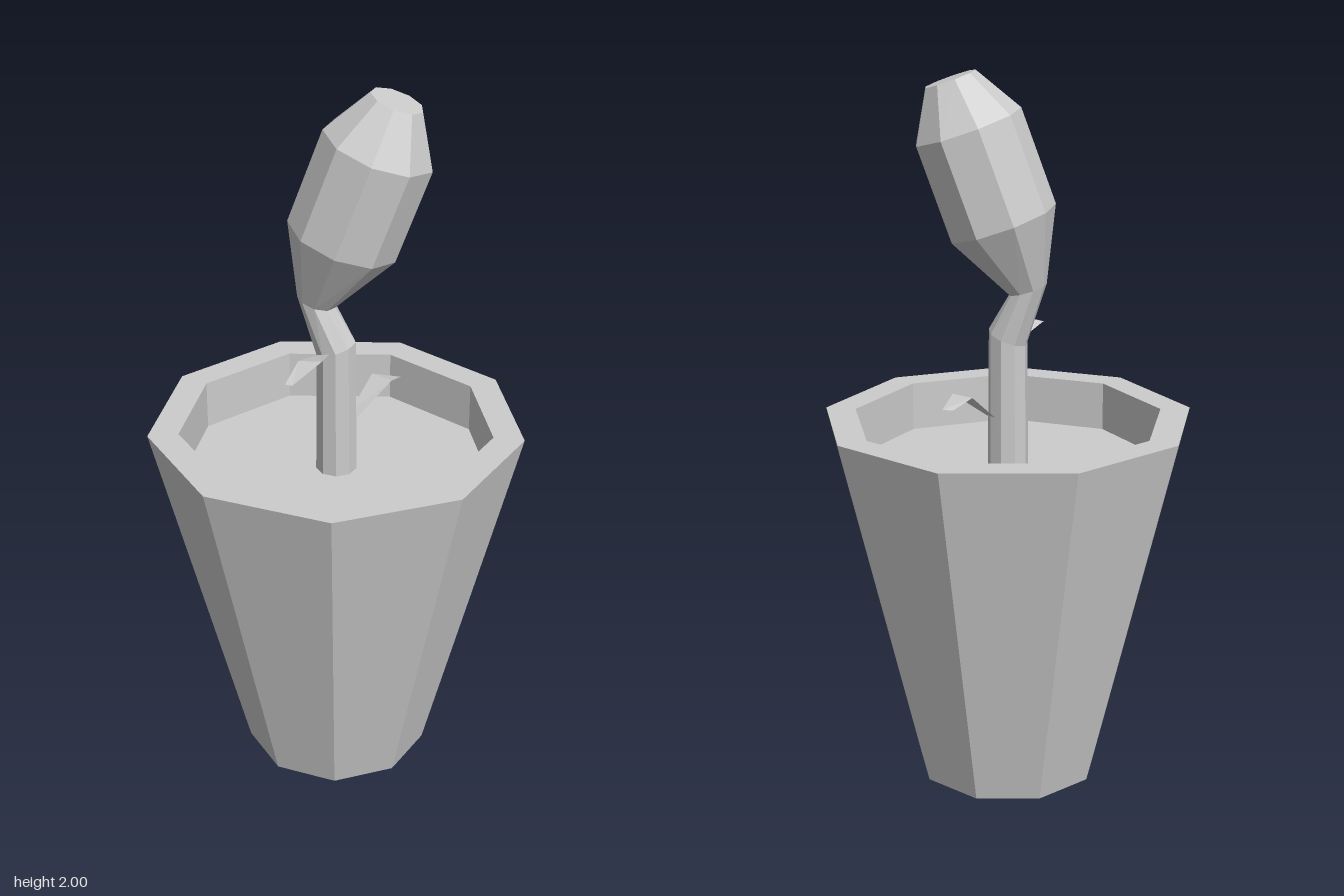
import * as THREE from 'three';

const SIDES = 9;
const CENTRE_Z = 0.015;

// Joins tilted nine-sided rings into a faceted, capped tube
function loft(rings) {
  const pos = [], index = [];
  const up = new THREE.Vector3(0, 1, 0);
  for (const { c, r, n, phase } of rings) {
    const tilt = new THREE.Quaternion().setFromUnitVectors(up, new THREE.Vector3(...n).normalize());
    for (let i = 0; i < SIDES; i++) {
      const a = THREE.MathUtils.degToRad(phase + i * 360 / SIDES);
      const p = new THREE.Vector3(Math.cos(a) * r, 0, -Math.sin(a) * r).applyQuaternion(tilt);
      pos.push(p.x + c[0], p.y + c[1], p.z + c[2]);
    }
  }
  for (let k = 0; k < rings.length - 1; k++) {
    for (let i = 0; i < SIDES; i++) {
      const j = (i + 1) % SIDES, lo = k * SIDES, hi = lo + SIDES;
      index.push(lo + i, lo + j, hi + j, lo + i, hi + j, hi + i);
    }
  }
  const top = (rings.length - 1) * SIDES;
  for (let i = 1; i < SIDES - 1; i++) index.push(top, top + i, top + i + 1);
  return finish(pos, index);
}

// Folded leaf blade: left/right point pairs at base, fold and tip
function leafBlade(pairs) {
  return finish(pairs.flat(2), [0, 1, 3, 0, 3, 2, 2, 3, 5, 2, 5, 4]);
}

function finish(pos, index) {
  const g = new THREE.BufferGeometry();
  g.setAttribute('position', new THREE.Float32BufferAttribute(pos, 3));
  g.setIndex(index);
  const flat = g.toNonIndexed();
  flat.computeVertexNormals();
  return flat;
}

export function createModel() {
  const group = new THREE.Group();
  const grey = new THREE.MeshStandardMaterial({ color: 0xcccccc, flatShading: true, side: THREE.DoubleSide });
  grey.name = 'plain grey';
  const add = (name, geometry) => {
    const mesh = new THREE.Mesh(geometry, grey);
    mesh.name = name;
    group.add(mesh);
    return mesh;
  };

  // Tapered pot with thick rim
  const profile = [[0, 0], [0.26, 0], [0.52, 1.05], [0.435, 1.05], [0.435, 0.91]]
    .map(([x, y]) => new THREE.Vector2(x, y));
  add('pot', new THREE.LatheGeometry(profile, SIDES, Math.PI)).position.z = CENTRE_Z;

  // Soil inside the rim
  const soil = new THREE.CircleGeometry(0.435, SIDES, Math.PI / 2).rotateX(-Math.PI / 2);
  add('soil', soil).position.set(0, 0.91, CENTRE_Z);

  // Kinked stem
  const neck = { c: [-0.055, 1.415, 0.02], r: 0.054, n: [0.29, 0.95, -0.05], phase: -74 };
  add('stem', loft([
    { c: [0, 0.91, CENTRE_Z], r: 0.057, n: [0, 1, 0], phase: -70 },
    { c: [0, 1.28, CENTRE_Z], r: 0.057, n: [-0.36, 0.93, 0], phase: -70 },
    neck,
  ]));

  // Leaning bud
  const axis = [0.32, 0.95, -0.09];
  add('bud', loft([
    neck,
    { c: [0.012, 1.598, 0.0], r: 0.153, n: axis, phase: -77 },
    { c: [0.102, 1.853, -0.022], r: 0.152, n: axis, phase: -77 },
    { c: [0.145, 1.978, -0.035], r: 0.072, n: axis, phase: -77 },
  ]));

  // Two small folded leaves
  add('upperLeaf', leafBlade([
    [[-0.035, 1.275, 0.065], [0.0, 1.285, 0.065]],
    [[-0.055, 1.295, 0.15], [0.012, 1.305, 0.15]],
    [[-0.055, 1.27, 0.242], [-0.035, 1.27, 0.242]],
  ]));
  add('lowerLeaf', leafBlade([
    [[0.02, 1.06, -0.035], [0.05, 1.06, -0.02]],
    [[0.05, 1.14, -0.13], [0.115, 1.14, -0.11]],
    [[0.085, 1.115, -0.18], [0.115, 1.115, -0.185]],
  ]));

  return group;
}
